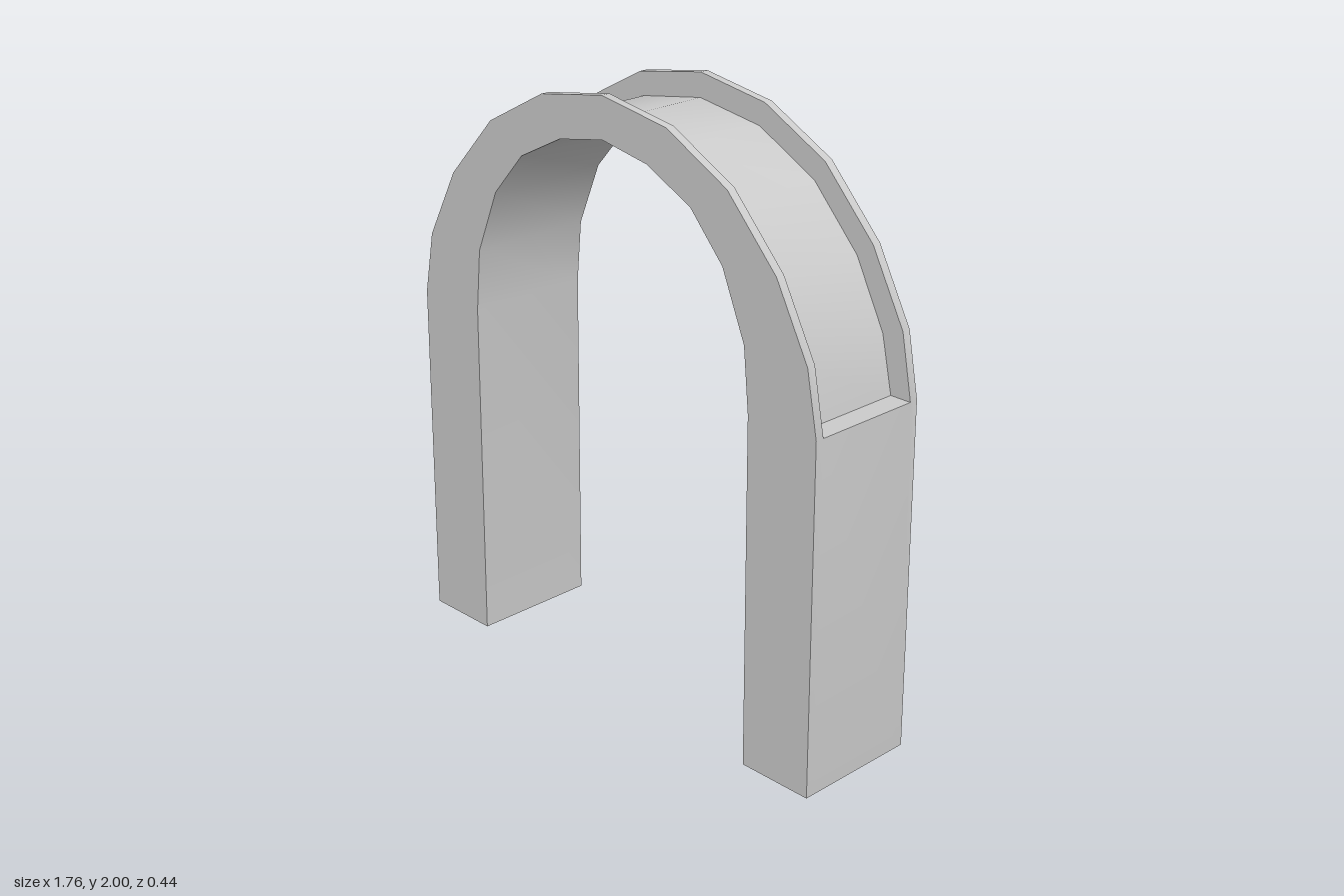
import * as THREE from 'three';
import { toCreasedNormals } from 'three/addons/utils/BufferGeometryUtils.js';

const HALF_DEPTH = 0.22;
const RIM = 0.19; // inner face of the raised rims

// Half of the arch from foot to crown: inner, outer and recessed deck points
const half = [
  { inner: [0.615, 0], outer: [0.88, 0], deck: [0.88, 0] },
  { inner: [0.61, 1.17], outer: [0.875, 1.17], deck: [0.875, 1.17] },
  { inner: [0.61, 1.17], outer: [0.875, 1.17], deck: [0.80, 1.17] },
  { inner: [0.59, 1.38], outer: [0.835, 1.38], deck: [0.76, 1.355] },
  { inner: [0.50, 1.595], outer: [0.71, 1.615], deck: [0.65, 1.57] },
  { inner: [0.37, 1.74], outer: [0.515, 1.825], deck: [0.475, 1.76] },
  { inner: [0.19, 1.83], outer: [0.27, 1.955], deck: [0.25, 1.88] },
  { inner: [0, 1.865], outer: [0, 2], deck: [0, 1.92] },
];

const flip = ([x, y]) => [-x, y];
const mirrored = half.slice(0, -1).reverse().map((s) => ({
  inner: flip(s.inner), outer: flip(s.outer), deck: flip(s.deck),
}));

// Channel-shaped cross-section with a rim along the front and back edges
function section({ inner, outer, deck }) {
  return [
    [inner, -HALF_DEPTH], [outer, -HALF_DEPTH], [outer, -RIM], [deck, -RIM],
    [deck, RIM], [outer, RIM], [outer, HALF_DEPTH], [inner, HALF_DEPTH],
  ].map(([p, z]) => new THREE.Vector3(p[0], p[1], z));
}

// Joins the sections into a shell, leaving the feet open
function sweep(rings) {
  const positions = [];
  const addTriangle = (a, b, c) => {
    if (new THREE.Triangle(a, b, c).getArea() < 1e-7) return;
    for (const v of [a, b, c]) positions.push(v.x, v.y, v.z);
  };
  for (let i = 0; i < rings.length - 1; i++) {
    const A = rings[i], B = rings[i + 1];
    for (let j = 0; j < A.length; j++) {
      const k = (j + 1) % A.length;
      addTriangle(A[j], B[j], B[k]);
      addTriangle(A[j], B[k], A[k]);
    }
  }
  const geometry = new THREE.BufferGeometry();
  geometry.setAttribute('position', new THREE.Float32BufferAttribute(positions, 3));
  return toCreasedNormals(geometry, 0.6);
}

export function createModel() {
  const group = new THREE.Group();
  group.name = 'archway';
  const material = new THREE.MeshStandardMaterial({ color: 0xcccccc, side: THREE.DoubleSide });
  const arch = new THREE.Mesh(sweep([...half, ...mirrored].map(section)), material);
  arch.name = 'rimmedArch';
  group.add(arch);
  return group;
}
